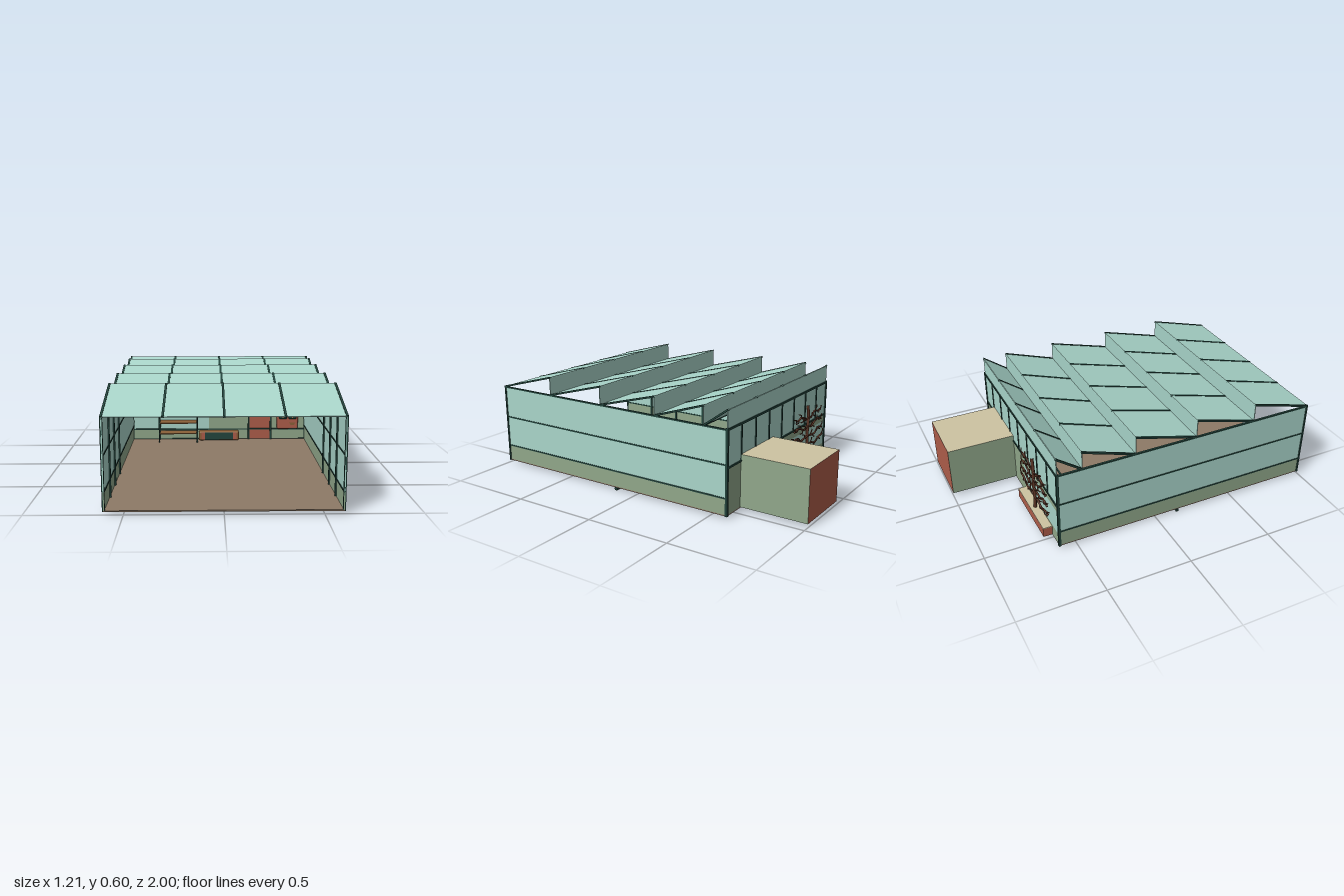
import * as THREE from 'three';
import { RoundedBoxGeometry } from 'three/addons/geometries/RoundedBoxGeometry.js';

const material = (name, color, side = THREE.FrontSide) => {
  const m = new THREE.MeshStandardMaterial({ color, side });
  m.name = name;
  return m;
};

export function createModel() {
  const root = new THREE.Group();
  root.name = 'greenhouse';

  const glass = material('pale glass', 0xa9d5ca);
  const green = material('sage wall', 0x90a78a);
  const frame = material('dark green frame', 0x23443c);
  const red = material('brick red', 0xae5d4a);
  const beige = material('sand', 0xcdc3a2);
  const earth = material('floor brown', 0x8d7a67);
  const bark = material('bark', 0x5c3526);
  const copper = material('copper', 0x8a6038);
  const gold = material('clock face', 0xb08046);

  const group = (name) => {
    const g = new THREE.Group();
    g.name = name;
    root.add(g);
    return g;
  };
  const mesh = (name, geo, mat, parent = root) => {
    const m = new THREE.Mesh(geo, mat);
    m.name = name;
    parent.add(m);
    return m;
  };
  // Box given by its limits on each axis
  const box = (name, mat, [x0, x1], [y0, y1], [z0, z1], parent = root) => {
    const m = mesh(name, new THREE.BoxGeometry(x1 - x0, y1 - y0, z1 - z0), mat, parent);
    m.position.set((x0 + x1) / 2, (y0 + y1) / 2, (z0 + z1) / 2);
    return m;
  };
  const rounded = (name, mat, [x0, x1], [y0, y1], [z0, z1], r, parent = root) => {
    const m = mesh(name, new RoundedBoxGeometry(x1 - x0, y1 - y0, z1 - z0, 3, r), mat, parent);
    m.position.set((x0 + x1) / 2, (y0 + y1) / 2, (z0 + z1) / 2);
    return m;
  };
  const around = (c, h) => [c - h, c + h];

  // Floor and the beam beneath it
  box('floor', earth, [-0.6, 0.6], [0.015, 0.022], [-0.6, 1]);
  box('floorBeam', frame, [-0.605, 0.605], [0, 0.016], around(0.14, 0.008));

  // Side walls with rails and inner posts
  for (const s of [-1, 1]) {
    const wall = group(s < 0 ? 'rightWall' : 'leftWall');
    const x = around(s * 0.597, 0.003);
    box('base', green, x, [0.022, 0.115], [-0.6, 1], wall);
    box('panes', glass, x, [0.115, 0.49], [-0.6, 1], wall);
    for (const y of [0.115, 0.3, 0.49])
      box('rail', frame, around(s * 0.597, 0.006), around(y, 0.004), [-0.6, 1], wall);
    for (const z of [0.77, 0.55, 0.32])
      box('innerPost', frame, around(s * 0.591, 0.005), [0.022, 0.49], around(z, 0.006), wall);
    box('frontPost', frame, around(s * 0.598, 0.007), [0.015, 0.494], [0.99, 1], wall);
    box('backPost', frame, around(s * 0.598, 0.007), [0.015, 0.5], around(-0.598, 0.007), wall);
  }

  // Back wall
  const back = group('backWall');
  const bz = around(-0.597, 0.003);
  box('solidWall', green, [-0.07, 0.6], [0.022, 0.285], bz, back);
  box('sill', green, [-0.6, -0.07], [0.022, 0.09], bz, back);
  box('lintel', green, [-0.6, -0.07], [0.24, 0.285], bz, back);
  box('window', glass, [-0.6, -0.07], [0.09, 0.24], bz, back);
  box('upperPanes', glass, [-0.6, 0.6], [0.285, 0.49], bz, back);
  for (const [y, h] of [[0.285, 0.005], [0.492, 0.006]])
    box('rail', frame, [-0.6, 0.6], around(y, h), around(-0.598, 0.007), back);
  box('lowRail', frame, [-0.6, 0.6], around(0.09, 0.004), [-0.595, -0.589], back);
  box('footRail', frame, [-0.6, 0.6], [0.014, 0.025], [-0.595, -0.588], back);
  for (let i = -3; i <= 3; i++)
    box('mullion', frame, around(i * 0.1525, 0.005), [0.285, 0.49], around(-0.598, 0.006), back);
  for (let i = 0; i < 8; i++) {
    const brace = mesh('brace', new THREE.BoxGeometry(0.007, 0.226, 0.006), copper, back);
    brace.position.set(-0.52 + i * 0.1515, 0.388, -0.585);
    brace.rotation.z = -0.465;
  }

  // Sawtooth roof: sloping panes, rafters and upright glazing
  const roof = group('roof');
  const ridges = [1, 0.62, 0.24, -0.14, -0.455, -0.6];
  for (let i = 0; i < 5; i++) {
    const front = ridges[i], rear = ridges[i + 1], rise = 0.105;
    const run = front - rear;
    const slope = new THREE.Group();
    slope.name = 'roofBay';
    slope.position.set(0, 0.493 + rise / 2, (front + rear) / 2);
    slope.rotation.x = Math.atan2(rise, run);
    roof.add(slope);
    const len = Math.hypot(run, rise);
    mesh('slopingPane', new THREE.BoxGeometry(1.2, 0.004, len), glass, slope);
    for (let k = -2; k <= 2; k++)
      mesh('rafter', new THREE.BoxGeometry(0.012, 0.01, len), frame, slope).position.x = k * 0.299;
    box('uprightPane', glass, [-0.6, 0.6], [0.493, 0.597], [rear, rear + 0.004], roof);
    if (i < 4) box('gutter', frame, [-0.6, 0.6], [0.488, 0.495], around(rear, 0.004), roof);
  }

  // Shed behind the back wall
  box('shed', [green, green, beige, earth, green, red], [0.1, 0.46], [0.02, 0.32], [-1, -0.6]);

  // Door in the back wall with a dark hood
  const door = group('door');
  box('doorLeaf', red, [0.21, 0.355], [0.022, 0.245], [-0.594, -0.586], door);
  for (const x of [0.206, 0.359]) box('jamb', frame, around(x, 0.006), [0.02, 0.257], [-0.594, -0.575], door);
  box('head', frame, [0.2, 0.365], [0.245, 0.258], [-0.594, -0.575], door);
  box('hood', frame, [0.207, 0.358], [0.262, 0.312], [-0.594, -0.57], door);
  box('midRail', frame, [0.21, 0.355], around(0.093, 0.004), [-0.586, -0.58], door);

  // Wall cabinet with two dials and a spout
  const cabinet = group('wallCabinet');
  rounded('cabinetBody', red, [0.4, 0.546], [0.097, 0.258], [-0.594, -0.55], 0.012, cabinet);
  for (const x of [0.441, 0.507]) {
    rounded('slot', frame, around(x, 0.027), [0.17, 0.196], [-0.553, -0.544], 0.004, cabinet);
    box('slotMark', gold, around(x, 0.004), [0.178, 0.19], [-0.544, -0.542], cabinet);
  }
  const cup = new THREE.Shape([[-0.024, 0.01], [-0.01, -0.008], [0.01, -0.008], [0.024, 0.01]]
    .map(([x, y]) => new THREE.Vector2(x, y)));
  mesh('tray', new THREE.ExtrudeGeometry(cup, { depth: 0.008, bevelEnabled: false }), copper, cabinet)
    .position.set(0.506, 0.135, -0.552);

  // Low heater
  const heater = group('heater');
  rounded('heaterBody', copper, [-0.14, 0.136], [0.022, 0.086], [-0.59, -0.53], 0.012, heater);
  box('heaterFace', red, [-0.122, 0.12], [0.029, 0.079], [-0.535, -0.527], heater);
  box('grille', frame, [-0.098, 0.096], [0.029, 0.079], [-0.527, -0.524], heater);

  // Shelf rack
  const rack = group('shelfRack');
  for (const x of [-0.41, -0.152])
    for (const z of [-0.575, -0.48]) box('rackPost', frame, around(x, 0.004), [0.02, 0.3], around(z, 0.004), rack);
  for (const z of [-0.575, -0.48]) box('rackTop', frame, [-0.414, -0.148], [0.293, 0.301], around(z, 0.004), rack);
  for (const y of [0.082, 0.155, 0.228]) box('shelf', copper, [-0.406, -0.156], around(y, 0.003), [-0.575, -0.48], rack);

  // Wall clock
  const clock = group('clock');
  clock.position.set(0.078, 0.377, -0.58);
  const disc = (name, r, depth, mat, z) => {
    const m = mesh(name, new THREE.CylinderGeometry(r, r, depth, 40), mat, clock);
    m.rotation.x = Math.PI / 2;
    m.position.z = z;
  };
  disc('clockCase', 0.062, 0.02, frame, 0);
  disc('clockFace', 0.056, 0.004, gold, 0.011);
  const hand = (name, angle, from, to, w) => {
    const m = mesh(name, new THREE.BoxGeometry(w, to - from, 0.003), frame, clock);
    const r = (from + to) / 2;
    m.position.set(Math.sin(angle) * r, Math.cos(angle) * r, 0.0145);
    m.rotation.z = -angle;
  };
  for (let i = 0; i < 12; i++) hand('hourMark', i * Math.PI / 6, 0.041, 0.049, 0.004);
  hand('hourHand', -1.0, -0.004, 0.032, 0.006);
  hand('minuteHand', 0.5, -0.004, 0.045, 0.005);

  // Planter and trained tree on the outside of the back wall
  const planter = group('planter');
  box('trough', red, [-0.5, -0.1], [0.022, 0.076], [-0.655, -0.601], planter);
  box('troughSoil', beige, [-0.5, -0.1], [0.076, 0.081], [-0.655, -0.601], planter);
  const tree = group('trainedTree');
  const limb = (name, pts, r) => mesh(name, new THREE.TubeGeometry(
    new THREE.CatmullRomCurve3(pts.map(([x, y, z = -0.625]) => new THREE.Vector3(x, y, z))), 12, r, 6), bark, tree);
  limb('trunk', [[-0.3, 0.075], [-0.306, 0.16], [-0.297, 0.25], [-0.305, 0.34], [-0.292, 0.418]], 0.01);
  for (const s of [-1, 1])
    [0.15, 0.21, 0.275, 0.335].forEach((y, tier) => {
      const reach = 0.22 - tier * 0.015;
      const at = (t) => [-0.3 + s * reach * t, y + 0.012 * Math.sin(t * 9 + tier) + 0.022 * t];
      limb('branch', [0, 0.25, 0.5, 0.75, 1].map(at), 0.006);
      for (let k = 1; k <= 5; k++) {
        const [x, by] = at(k / 5.5);
        const up = k % 2 ? 1 : -0.7;
        limb('twig', [[x, by], [x + s * 0.01, by + up * 0.017, -0.63], [x + s * 0.034, by + up * 0.024, -0.622]], 0.0035);
      }
    });

  return root;
}
